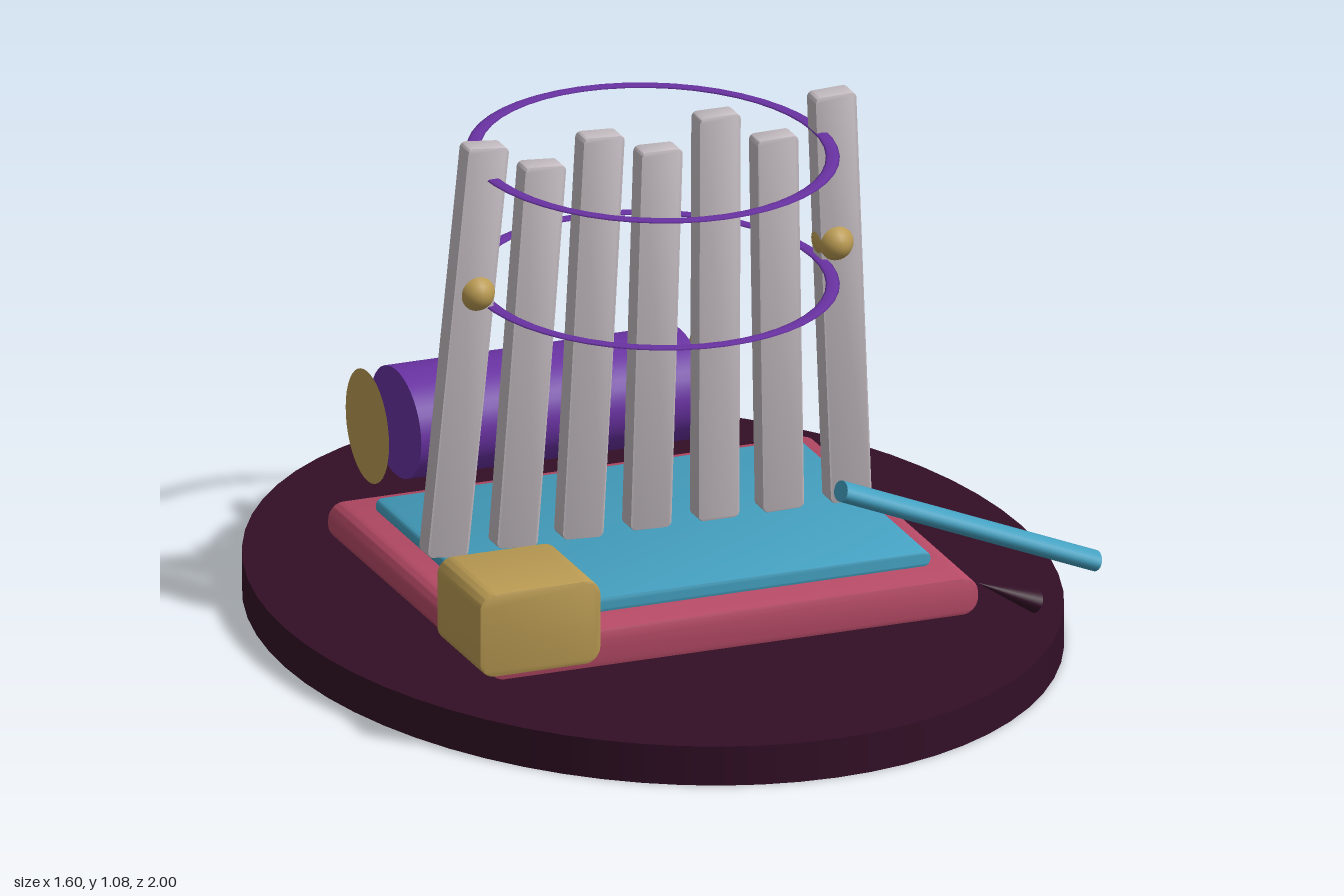
import * as THREE from 'three';
import { toCreasedNormals } from 'three/addons/utils/BufferGeometryUtils.js';

const mat = (name, color, side = THREE.FrontSide) => {
  const m = new THREE.MeshStandardMaterial({ color, side });
  m.name = name;
  return m;
};

// Block with rounded corners in the xy plane and finely bevelled front and back edges
function roundedBlock(w, h, d, r, bevel = 0.005) {
  const x = w / 2 - bevel, y = h / 2 - bevel;
  const s = new THREE.Shape();
  s.moveTo(-x + r, -y);
  s.lineTo(x - r, -y);
  s.absarc(x - r, -y + r, r, -Math.PI / 2, 0);
  s.absarc(x - r, y - r, r, 0, Math.PI / 2);
  s.absarc(-x + r, y - r, r, Math.PI / 2, Math.PI);
  s.absarc(-x + r, -y + r, r, Math.PI, Math.PI * 1.5);
  const g = new THREE.ExtrudeGeometry(s, {
    depth: d - 2 * bevel, bevelThickness: bevel, bevelSize: bevel, bevelSegments: 2, curveSegments: 6,
  });
  g.translate(0, 0, -d / 2 + bevel);
  return toCreasedNormals(g, 0.6);
}

export function createModel() {
  const model = new THREE.Group();
  const dark = mat('dark plum', 0x320f26);
  const rose = mat('rose', 0xb64a66);
  const teal = mat('teal', 0x44a0c0);
  const grey = mat('pale grey', 0xc4bcc1);
  const gold = mat('gold', 0xb99a52, THREE.DoubleSide);
  const purple = mat('purple', 0x6932a2);

  const add = (name, geometry, material, x, y, z) => {
    const m = new THREE.Mesh(geometry, material);
    m.name = name;
    m.position.set(x, y, z);
    model.add(m);
    return m;
  };

  // Oval plinth with two stacked slabs
  add('base', new THREE.CylinderGeometry(1, 1, 0.084, 64).scale(0.8, 1, 1), dark, 0, 0.042, 0);
  add('lowerSlab', roundedBlock(1.065, 0.08, 0.88, 0.03), rose, 0, 0.124, 0);
  add('upperSlab', roundedBlock(0.93, 0.032, 0.7, 0.01), teal, 0, 0.18, 0);

  // Fan of leaning slats: bottom x, top x, top y
  const slats = [
    [-0.456, -0.366, 1.068], [-0.305, -0.242, 1.011], [-0.162, -0.115, 1.057], [-0.014, 0.011, 1.01],
    [0.134, 0.137, 1.067], [0.275, 0.262, 1.002], [0.422, 0.388, 1.077],
  ];
  const foot = 0.197;
  for (const [x0, x1, top] of slats) {
    const length = Math.hypot(x1 - x0, top - foot);
    const slat = add('slat', roundedBlock(0.09, length, 0.05, 0.01, 0.003), grey, (x0 + x1) / 2, (foot + top) / 2, 0);
    slat.rotation.z = -Math.atan2(x1 - x0, top - foot);
  }

  // Flat oval hoops and the studs at each side
  for (const y of [0.724, 0.998]) {
    const hoop = new THREE.TorusGeometry(0.358, 0.014, 8, 48).rotateX(Math.PI / 2).scale(1, 0.2, 1.1);
    add('hoop', hoop, purple, 0, y, 0);
  }
  for (const side of [-1, 1]) {
    add('stud', new THREE.SphereGeometry(0.041, 24, 16).scale(1, 1, 1.3), gold, side * 0.39, 0.757, 0);
  }

  // Gold block at the front
  add('block', roundedBlock(0.264, 0.18, 0.236, 0.03), gold, -0.492, 0.255, 0.5);

  // Oval roll at the back with a separate thin disc beyond each end
  const roll = new THREE.CylinderGeometry(0.138, 0.138, 0.62, 40).rotateZ(Math.PI / 2).scale(1, 0.82, 1);
  add('roll', roll, purple, 0, 0.243, -0.623);
  for (const side of [-1, 1]) {
    const disc = new THREE.CircleGeometry(0.118, 40).rotateY(side * Math.PI / 2);
    add('rollDisc', disc, gold, side * 0.372, 0.243, -0.623);
  }

  // Slanted rod and pointed tip, both wider from front to back
  const slanted = (name, geometry, material, ax, ay, bx, by) => {
    const m = add(name, geometry, material, (ax + bx) / 2, (ay + by) / 2, 0.5);
    m.rotation.z = Math.atan2(by - ay, bx - ax) - Math.PI / 2;
  };
  slanted('rod', new THREE.CylinderGeometry(0.021, 0.021, 0.598, 24).scale(1, 1, 1.5), teal, 0.761, 0.187, 0.209, 0.414);
  slanted('tip', new THREE.ConeGeometry(0.025, 0.137, 24).scale(1, 1, 1.5), dark, 0.63, 0.12, 0.505, 0.175);

  return model;
}
